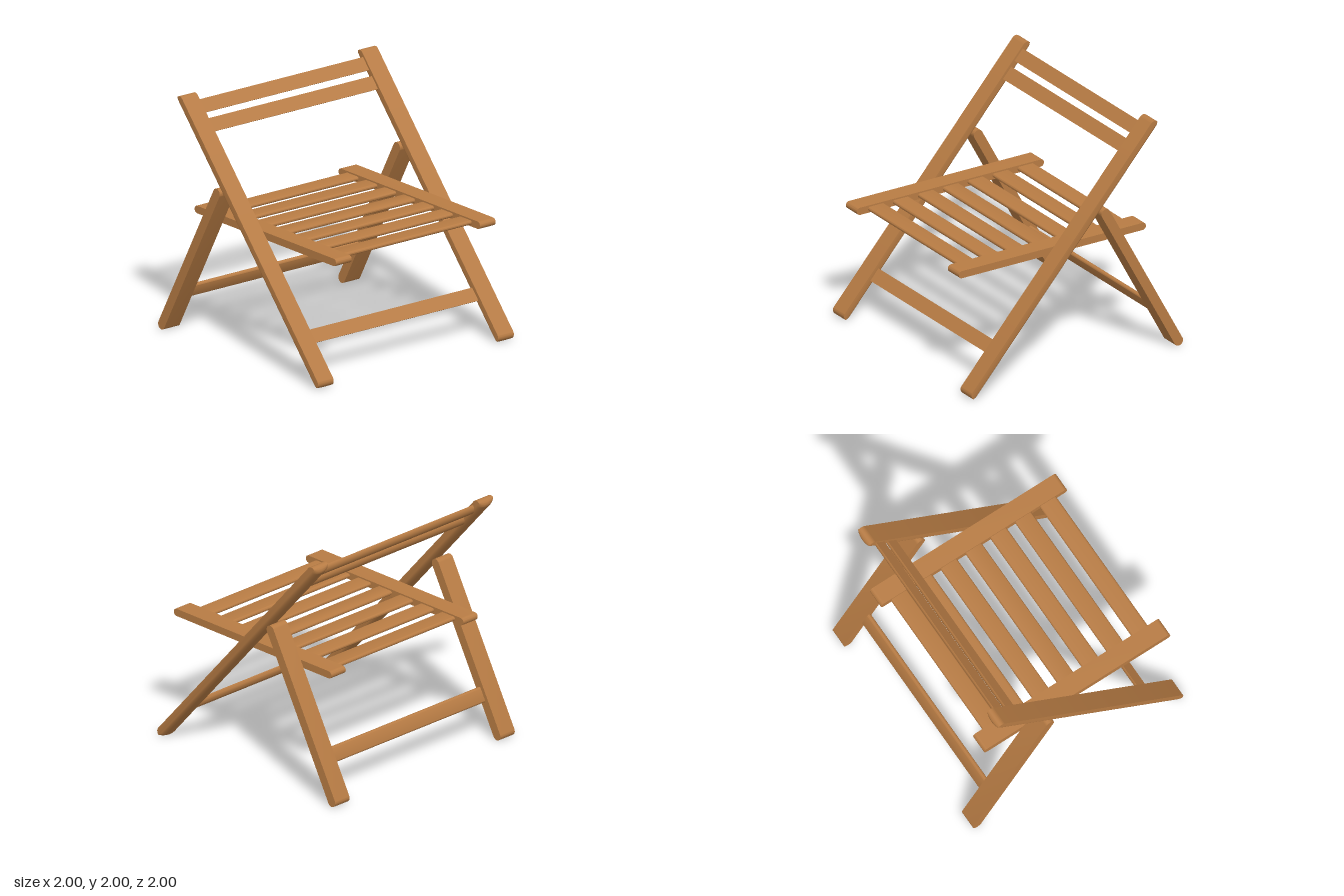
import * as THREE from 'three';
import { toCreasedNormals } from 'three/addons/utils/BufferGeometryUtils.js';

const wood = new THREE.MeshStandardMaterial({ color: 0xb87c44 });
wood.name = 'warm wood';

// Side profile of a bar: straight length with round ends
function capsule(len, r) {
  const s = new THREE.Shape();
  const h = len / 2 - r;
  s.absarc(0, h, r, 0, Math.PI);
  s.absarc(0, -h, r, Math.PI, Math.PI * 2);
  s.closePath();
  return s;
}

// Side profile with a flat face and a bulging back
function dProfile(len, depth) {
  const s = new THREE.Shape();
  s.absellipse(-depth * 0.4, 0, depth, len / 2, -Math.PI / 2, Math.PI / 2, false);
  s.closePath();
  return s;
}

// Extrudes a profile across x, with its length along the direction (dz, dy)
function bar(name, shape, z, y, dz, dy, x0, x1, roundBack = false) {
  const width = x1 - x0;
  const geo = new THREE.ExtrudeGeometry(shape, {
    depth: 1, steps: roundBack ? 14 : 1, bevelEnabled: false, curveSegments: 10,
  });
  const p = geo.attributes.position;
  for (let i = 0; i < p.count; i++) {
    let w = p.getZ(i) - 0.5;
    if (roundBack) {
      const a = p.getZ(i) * Math.PI;
      w = -Math.cos(a) / 2;
      if (p.getX(i) > 0) p.setX(i, p.getX(i) * (0.12 + 0.88 * Math.sin(a)));
    }
    p.setZ(i, w * width);
  }
  const u = new THREE.Vector3(0, dy, dz).normalize();
  const across = new THREE.Vector3(1, 0, 0);
  const t = new THREE.Vector3().crossVectors(u, across);
  geo.applyMatrix4(new THREE.Matrix4().makeBasis(t, u, across).setPosition((x0 + x1) / 2, y, z));
  const mesh = new THREE.Mesh(toCreasedNormals(geo, 0.6), wood);
  mesh.name = name;
  return mesh;
}

export function createModel() {
  const chair = new THREE.Group();
  chair.name = 'foldingChair';

  // Leaning direction of the long front legs and of the rear props
  const lean = [-1.69, 1.92];
  const prop = [0.69, 1.27];

  for (const side of [-1, 1]) {
    const label = side > 0 ? 'left' : 'right';
    const span = (a, b) => (side > 0 ? [a, b] : [-b, -a]);

    // Long legs that run up into the backrest
    chair.add(bar(label + 'FrontLeg', capsule(2.638, 0.041), 0.115, 1.0, ...lean, ...span(0.84, 1), true));

    // Shorter rear legs
    chair.add(bar(label + 'RearLeg', capsule(1.525, 0.041), -0.614, 0.674, ...prop, ...span(0.84, 1)));

    // Hinge tab between the legs
    const hinge = new THREE.Mesh(new THREE.BoxGeometry(0.06, 0.03, 0.08), wood);
    hinge.name = label + 'Hinge';
    hinge.position.set(side * 0.92, 1.318, -0.215);
    chair.add(hinge);

    // Seat side rails
    chair.add(bar(label + 'SeatRail', capsule(1.77, 0.031), 0.115, 1.016, 1, 0, ...span(0.655, 0.815)));
  }

  // Seat slats
  for (let i = 0; i < 7; i++) {
    chair.add(bar('seatSlat' + (i + 1), capsule(0.156, 0.0175), 0.818 - i * 0.236, 1.017, 1, 0, -0.66, 0.66));
  }

  // Backrest slats and front stretcher, flat in front and rounded behind
  const crossBars = [
    ['upperBackSlat', -0.665, 1.895],
    ['lowerBackSlat', -0.555, 1.765],
    ['frontStretcher', 0.7, 0.325],
  ];
  for (const [name, z, y] of crossBars) {
    chair.add(bar(name, dProfile(0.118, 0.045), z, y, ...lean, -0.86, 0.86));
  }

  // Rear stretcher
  chair.add(bar('rearStretcher', capsule(0.13, 0.019), -0.785, 0.34, ...prop, -0.85, 0.85));

  return chair;
}
